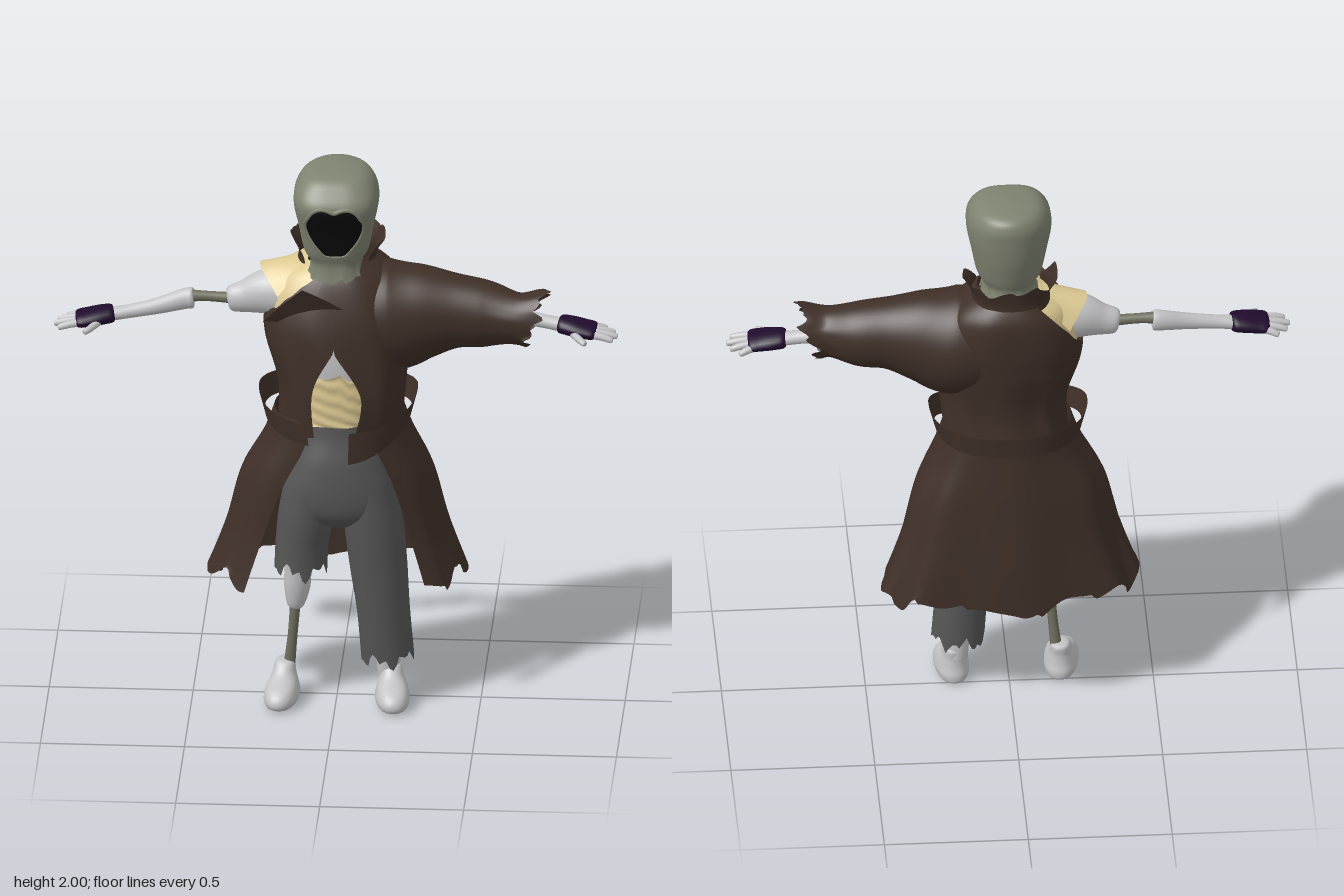
import * as THREE from 'three';

const COLORS = {
  coatBrown: 0x3f3028, hoodSage: 0x7f8370, voidBlack: 0x090909, boneGrey: 0xc4c4c6,
  trouserGrey: 0x565656, shirtTan: 0xdcc992, glovePurple: 0x200c2d, jointOlive: 0x6e6f5e,
};
const TAU = Math.PI * 2;

// Smooth interpolation through rows of numbers
function sample(rows, t) {
  const f = Math.min(Math.max(t, 0), 1) * (rows.length - 1);
  const i = Math.min(Math.floor(f), rows.length - 2), s = f - i;
  const a = rows[Math.max(i - 1, 0)], b = rows[i], c = rows[i + 1], d = rows[Math.min(i + 2, rows.length - 1)];
  return b.map((p, k) => p + 0.5 * s * (c[k] - a[k]
    + s * (2 * a[k] - 5 * p + 4 * c[k] - d[k] + s * (3 * (p - c[k]) + d[k] - a[k]))));
}

// Surface from a rule (u, v) -> point; closed joins the sides
function surface(nu, nv, closed, rule) {
  const pos = [], idx = [], cols = closed ? nu : nu + 1;
  for (let j = 0; j <= nv; j++)
    for (let i = 0; i < cols; i++) pos.push(...rule(i / nu, j / nv));
  for (let j = 0; j < nv; j++)
    for (let i = 0; i < nu; i++) {
      const a = j * cols + i, b = j * cols + (i + 1) % cols;
      idx.push(a, b, b + cols, a, b + cols, a + cols);
    }
  const g = new THREE.BufferGeometry();
  g.setAttribute('position', new THREE.Float32BufferAttribute(pos, 3));
  g.setIndex(idx);
  g.computeVertexNormals();
  return g;
}

const pw = (x, p) => Math.sign(x) * Math.abs(x) ** p;
// Ragged edge profile, about -1 to 1
const tear = a => 0.5 * Math.sin(5 * a + 1) + 0.35 * Math.sin(11 * a) + 0.5 * (((a * 2.07) % 1) - 0.5);

// Upright shell, rows bottom to top: [y, cx, cz, rx, rz, left gap, right gap]; angle 0 is the front
function shell(rows, { p = () => 0.88, nu = 72, nv = 28, warp, top } = {}) {
  return surface(nu, nv, rows[0].length < 6, (u, v) => {
    const [y, cx, cz, rx, rz, g0 = 0, g1 = 0] = sample(rows, top ? v * top(u * TAU) : v);
    const l = Math.max(g0, 0), a = l + u * (TAU - l - Math.max(g1, 0)), e = p(a);
    const pt = [cx + rx * pw(Math.sin(a), e), y, cz + rz * pw(Math.cos(a), e)];
    if (warp) warp(pt, a, v);
    return pt;
  });
}

// Limb along [x, y, z, radius across, radius in depth]; fray tears the far end, slant skews it
function limb(points, { nu = 24, nv = 24, fray = 0, slant = 0 } = {}) {
  return surface(nu, nv, true, (u, v) => {
    const q = sample(points, v), e0 = sample(points, v - 0.02), e1 = sample(points, v + 0.02);
    const T = new THREE.Vector3(e1[0] - e0[0], e1[1] - e0[1], e1[2] - e0[2]).normalize();
    const S = new THREE.Vector3(0, 0, 1).addScaledVector(T, -T.z).normalize();
    const U = new THREE.Vector3().crossVectors(S, T), a = u * TAU;
    return new THREE.Vector3(q[0], q[1], q[2])
      .addScaledVector(U, q[3] * Math.cos(a)).addScaledVector(S, q[4] * Math.sin(a))
      .addScaledVector(T, (fray * tear(a) + slant * Math.cos(a)) * v ** 6).toArray();
  });
}
// Closed ends for a limb
const capped = pts => [pts[0], ...pts, pts.at(-1)].map((q, i, all) =>
  i % (all.length - 1) ? q : [q[0], q[1], q[2], 0.0005, 0.0005]);

export function createModel() {
  const model = new THREE.Group(), mats = {};
  for (const [name, color] of Object.entries(COLORS)) {
    mats[name] = new THREE.MeshStandardMaterial({ color, side: THREE.DoubleSide });
    mats[name].name = name;
  }
  const add = (name, geo, mat, parent = model) => {
    const m = new THREE.Mesh(geo, mats[mat]);
    m.name = name;
    parent.add(m);
    return m;
  };

  // Coat body, with a torn armhole on its right and a split front
  add('coatBody', shell([
    [1.04, 0.01, 0.005, 0.215, 0.19, 0.15, 0.33], [1.2, 0.02, 0.022, 0.222, 0.186, 0.3, 0.4],
    [1.37, 0, 0.006, 0.25, 0.194, 0, 0], [1.48, 0, -0.01, 0.25, 0.19, 0, 0],
    [1.59, 0, -0.028, 0.205, 0.168, 0, 0], [1.66, 0, -0.035, 0.115, 0.125, 0, 0],
  ], {
    nu: 120, nv: 36,
    top: a => {
      const w = Math.max(0, a > 4.6 ? 1 - (a - 4.6) / 1.45 : 1 - (4.6 - a) / 0.85);
      return 1 - 0.53 * w ** 0.52 + (w > 0 ? 0.012 * tear(a * 2) : 0);
    },
    warp: (p, a, v) => {
      p[1] -= 0.1 * Math.exp(-((a / 0.4) ** 2)) * (1 - v) ** 6;
      p[2] += 0.006 * Math.sin(9 * a + 6 * v) * (1 - v);
    },
  }), 'coatBrown');
  // Pointed lapel standing off the right of the chest
  add('lapel', surface(8, 6, false, (u, v) => [
    -0.02 - 0.18 * u + v * (u - 0.5) * 0.1 * -1, 1.52 - 0.07 * u * u + v * 0.1 * (1 - Math.abs(2 * u - 1)),
    0.172 - 0.045 * u * u + 0.04 * v * (1 - Math.abs(2 * u - 1)),
  ]), 'coatBrown');

  // Flared coat skirt, fuller at the back left and front right, with ragged hem
  add('coatSkirt', shell([
    [0.47, 0, -0.045, 0.44, 0.195, 0.72, 0.66], [0.65, 0, -0.035, 0.378, 0.197, 0.7, 0.6],
    [0.85, 0, -0.018, 0.328, 0.2, 0.62, 0.46], [1.0, 0.005, -0.005, 0.255, 0.197, 0.5, 0.33],
    [1.1, 0.005, 0, 0.22, 0.19, 0.3, 0.3],
  ], {
    p: a => (a < TAU / 4 ? 0.85 : a < TAU / 2 ? 0.68 : a < TAU * 0.75 ? 1.08 : 0.75), nu: 110,
    warp: (p, a, v) => {
      const k = (1 - v) ** 3, fold = 1 + 0.03 * Math.sin(8 * a + 0.6) * (1 - v);
      p[1] += 0.045 * tear(a) * k - 0.02 * k * (1 - Math.cos(a)) / 2;
      p[0] *= fold;
      p[2] = p[2] * fold + (a > TAU * 0.75 ? 0.05 * (1 - v) ** 2 * Math.cos(a) : 0);
    },
  }), 'coatBrown');

  // Loose flat belt, dipping at the front
  add('belt', shell([
    [1.075, 0.005, 0, 0.255, 0.215, 0.14, 0.32], [1.155, 0.005, 0, 0.276, 0.221, 0.14, 0.32],
  ], {
    nv: 6,
    warp: (p, a, v) => {
      const front = Math.max(0, Math.cos(a));
      p[1] += 0.01 - 0.07 * front - 0.02 * Math.max(0, -Math.cos(a));
      if (a < 2) p[1] -= 0.04 * front ** 3 * (1.6 - v);
    },
  }), 'coatBrown');

  // Standing collar
  add('collar', shell([
    [1.6, 0, -0.04, 0.15, 0.135, 0.8, 0.8], [1.66, 0, -0.04, 0.135, 0.13, 0.95, 0.95],
    [1.72, 0, -0.04, 0.165, 0.14, 1.25, 1.25],
  ], { nv: 10, warp: (p, a, v) => { p[1] += 0.018 * tear(a * 0.9 + 2) * v * v; } }), 'coatBrown');

  // Left sleeve
  add('leftSleeve', limb([
    [0.06, 1.44, -0.01, 0.185, 0.165], [0.19, 1.432, -0.008, 0.198, 0.17], [0.31, 1.45, 0.0, 0.168, 0.14],
    [0.42, 1.458, 0.01, 0.132, 0.115], [0.52, 1.453, 0.02, 0.118, 0.105],
    [0.62, 1.45, 0.045, 0.092, 0.085], [0.69, 1.455, 0.05, 0.103, 0.085],
  ], { nu: 56, nv: 40, fray: 0.03, slant: 0.045 }), 'coatBrown');

  // Body under the clothes
  add('chest', shell([
    [1.05, 0, 0.01, 0.12, 0.11], [1.2, 0, 0.03, 0.15, 0.13], [1.38, 0, 0, 0.18, 0.165],
    [1.52, 0, -0.01, 0.17, 0.13], [1.6, 0, 0, 0.09, 0.08], [1.7, 0, 0, 0.06, 0.06],
  ]), 'boneGrey');
  add('shirtWaist', shell([[1.07, 0, 0.04, 0.15, 0.125], [1.16, 0, 0.045, 0.165, 0.125], [1.26, 0, 0.045, 0.175, 0.13]], {
    warp: (p, a, v) => {
      p[1] += 0.02 * tear(a * 2) * v * v;
      p[2] += 0.003 * Math.sin(v * 26 + 9 * a);
    },
  }), 'shirtTan');
  // Torn shirt at the armhole, with a shoulder flap
  add('shirtSide', shell([
    [1.34, 0, 0, 0.225, 0.17, 3.75, 0.2], [1.42, 0, -0.005, 0.234, 0.178, 3.75, 0.2],
    [1.52, 0, -0.012, 0.23, 0.172, 3.75, 0.2], [1.6, 0, -0.028, 0.19, 0.15, 3.75, 0.2],
    [1.645, 0, -0.035, 0.11, 0.115, 3.75, 0.2],
  ], { nu: 40 }), 'shirtTan');
  add('shirtFlap', surface(8, 6, false, (u, v) => [
    -0.1 - 0.17 * v * (0.6 + 0.4 * Math.sin(u * Math.PI)), 1.645 - 0.035 * v - 0.08 * (2 * u - 1) ** 2 * v, (u - 0.5) * (0.17 + 0.06 * v) - 0.02,
  ]), 'shirtTan');

  // Right upper arm and bare joint
  add('rightUpperArm', limb(capped([
    [-0.15, 1.515, 0, 0.09, 0.085], [-0.24, 1.51, 0, 0.082, 0.075],
    [-0.32, 1.49, 0, 0.058, 0.05], [-0.375, 1.48, 0, 0.042, 0.035],
  ])), 'boneGrey');
  add('rightElbowBone', limb([[-0.36, 1.482, 0, 0.02, 0.02], [-0.45, 1.487, 0, 0.018, 0.018], [-0.53, 1.487, 0, 0.023, 0.023]]), 'jointOlive');
  // Forearms, gloves, four fingers and a thumb
  for (const s of [-1, 1]) {
    const arm = new THREE.Group();
    arm.name = s > 0 ? 'leftForearmAndHand' : 'rightForearmAndHand';
    model.add(arm);
    const part = (name, mat, pts, opts) => add(name, limb(capped(pts.map(q => [q[0] * s, ...q.slice(1)])), opts), mat, arm);
    part('forearm', 'boneGrey', [
      [0.5, 1.478, 0, 0.035, 0.03], [0.53, 1.475, 0, 0.037, 0.032], [0.62, 1.455, 0.02, 0.029, 0.028],
      [0.72, 1.438, 0.035, 0.024, 0.026], [0.82, 1.425, 0.045, 0.022, 0.03],
    ]);
    part('glove', 'glovePurple', [
      [0.775, 1.432, 0.04, 0.027, 0.042], [0.81, 1.428, 0.045, 0.031, 0.055],
      [0.86, 1.42, 0.053, 0.029, 0.06], [0.9, 1.414, 0.055, 0.023, 0.055],
    ]);
    const digits = { nu: 10, nv: 12 };
    for (const [z0, z1, x1] of [[0.015, -0.005, 0.935], [0.04, 0.03, 0.965], [0.065, 0.068, 0.975], [0.09, 0.105, 0.96]])
      part('finger', 'boneGrey', [
        [0.87, 1.416, z0, 0.013, 0.013], [(0.88 + x1) / 2, 1.41, (z0 + z1) / 2, 0.013, 0.013], [x1, 1.4, z1, 0.01, 0.01],
      ], digits);
    part('thumb', 'boneGrey', [[0.815, 1.42, 0.07, 0.014, 0.014], [0.84, 1.412, 0.115, 0.013, 0.013], [0.868, 1.402, 0.148, 0.01, 0.01]], digits);
  }

  // Trousers
  add('trouserSeat', shell([
    [0.67, 0.01, 0.06, 0.04, 0.05], [0.72, 0.01, 0.06, 0.17, 0.105], [0.8, 0.01, 0.06, 0.195, 0.125],
    [0.92, 0.01, 0.04, 0.165, 0.14], [1.02, 0.01, 0.02, 0.13, 0.14], [1.1, 0.01, 0.01, 0.13, 0.145],
  ]), 'trouserGrey');
  add('leftTrouserLeg', limb([
    [0.11, 0.82, 0.06, 0.09, 0.11], [0.13, 0.68, 0.06, 0.102, 0.108], [0.147, 0.52, 0.055, 0.1, 0.1],
    [0.163, 0.35, 0.045, 0.092, 0.094], [0.177, 0.175, 0.035, 0.092, 0.085],
  ], { nu: 48, fray: 0.035 }), 'trouserGrey');
  add('rightTrouserLeg', limb([
    [-0.09, 0.82, 0.06, 0.09, 0.11], [-0.105, 0.7, 0.06, 0.096, 0.108],
    [-0.118, 0.6, 0.058, 0.092, 0.1], [-0.122, 0.515, 0.055, 0.092, 0.1],
  ], { nu: 48, fray: 0.04 }), 'trouserGrey');

  // Legs and feet
  add('rightShin', limb(capped([
    [-0.125, 0.62, 0.055, 0.06, 0.06], [-0.132, 0.5, 0.055, 0.048, 0.05],
    [-0.136, 0.42, 0.05, 0.045, 0.045], [-0.142, 0.35, 0.045, 0.027, 0.028],
  ])), 'boneGrey');
  add('rightShinBone', limb([[-0.141, 0.38, 0.045, 0.019, 0.019], [-0.152, 0.24, 0.035, 0.017, 0.017], [-0.166, 0.1, 0.025, 0.021, 0.021]]), 'jointOlive');
  add('leftShin', limb([[0.165, 0.4, 0.04, 0.05, 0.05], [0.182, 0.1, 0.025, 0.04, 0.043]]), 'boneGrey');
  for (const [name, x, turn] of [['leftFoot', 0.19, 0.1], ['rightFoot', -0.178, -0.12]]) {
    const foot = add(name, shell([
      [0, 0, 0.06, 0.001, 0.001], [0.004, 0, 0.065, 0.045, 0.095], [0.03, 0, 0.068, 0.06, 0.112], [0.065, 0, 0.06, 0.054, 0.096],
      [0.1, 0, 0.025, 0.04, 0.057], [0.137, 0, 0.005, 0.031, 0.038], [0.142, 0, 0.005, 0.001, 0.001],
    ], { nu: 32 }), 'boneGrey');
    foot.position.set(x, 0, 0.018);
    foot.rotation.y = turn;
  }

  // Hood, square at the brow and round behind, with a ragged cowl
  const hood = [
    [1.595, 0, 0.015, 0.105, 0.12], [1.66, 0, 0.022, 0.09, 0.108], [1.71, 0, 0.022, 0.114, 0.124],
    [1.8, 0, 0.02, 0.132, 0.147], [1.89, 0, 0.026, 0.148, 0.165], [1.95, 0, 0.008, 0.134, 0.148],
    [1.987, 0, -0.002, 0.092, 0.108], [2.0, 0, 0, 0.001, 0.001],
  ];
  const square = 0.66;
  add('hood', shell(hood, {
    p: a => (Math.cos(a) > 0 ? square : 1), nv: 40,
    warp: (p, a, v) => { p[1] += 0.03 * tear(a * 1.5) * Math.max(0, 1 - v * 4) ** 2; },
  }), 'hoodSage');
  // Dark face opening, narrow below and notched above, laid on the front of the hood
  const faceAt = (u, v, lift) => {
    const s = 2 * u - 1, x = s * 0.1 * Math.sin(Math.PI * (0.08 + 0.56 * v)) ** 0.75;
    const y = 1.712 + 0.178 * v + v ** 3 * (0.012 * Math.sin(Math.abs(s) * Math.PI) - 0.03 * s ** 6);
    let lo = 0, hi = 1;
    for (let k = 0; k < 24; k++) {
      const mid = (lo + hi) / 2;
      if (sample(hood, mid)[0] < y) lo = mid; else hi = mid;
    }
    const [, , cz, rx, rz] = sample(hood, lo);
    return [x, y, cz + rz * (1 - Math.min(1, Math.abs(x) / rx) ** (2 / square)) ** (square / 2) + lift];
  };
  add('faceVoid', surface(24, 24, false, (u, v) => faceAt(u, v, 0.005)), 'voidBlack');
  // Rolled rim around the opening
  const rim = [];
  for (let i = 0; i < 8; i++) rim.push(faceAt(1, i / 8, 0));
  for (let i = 0; i < 8; i++) rim.push(faceAt(1 - i / 8, 1, 0.002));
  for (let i = 8; i >= 0; i--) rim.push(faceAt(0, i / 8, 0));
  const rimCurve = new THREE.CatmullRomCurve3(rim.map(q => new THREE.Vector3(...q)), true);
  add('hoodRim', new THREE.TubeGeometry(rimCurve, 90, 0.008, 8, true), 'hoodSage');

  return model;
}
